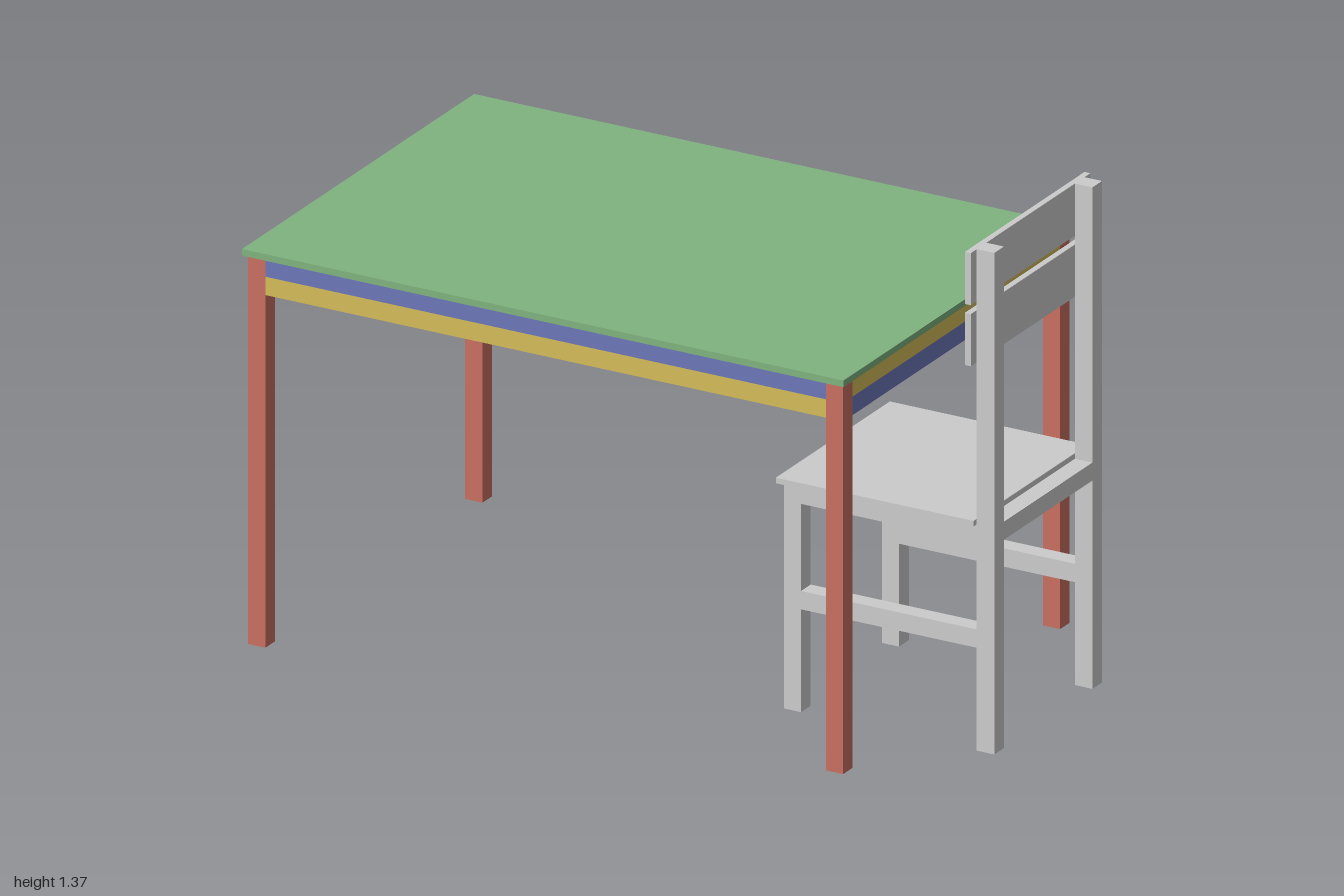
import * as THREE from 'three';

const paint = (color) => new THREE.MeshStandardMaterial({ color });

export function createModel() {
  const green = paint(0x7fb27f), red = paint(0xc96f60), blue = paint(0x6c77b8);
  const yellow = paint(0xd4bb5a), grey = paint(0xcccccc);

  // Box given by its extents on each axis
  const board = (group, name, material, [x0, x1], [y0, y1], [z0, z1]) => {
    const mesh = new THREE.Mesh(new THREE.BoxGeometry(x1 - x0, y1 - y0, z1 - z0), material);
    mesh.position.set((x0 + x1) / 2, (y0 + y1) / 2, (z0 + z1) / 2);
    mesh.name = name;
    group.add(mesh);
  };
  // The same box on the +z and -z sides
  const pair = (group, name, material, x, y, [z0, z1]) => {
    board(group, name + 'Left', material, x, y, [-z1, -z0]);
    board(group, name + 'Right', material, x, y, [z0, z1]);
  };

  // Table: top, four legs and two layers of rails
  const table = new THREE.Group();
  table.name = 'table';
  const upper = [1.01, 1.06], lower = [0.96, 1.01];
  const legZ = [0.525, 0.574], innerX = [-0.94, 0.685];
  const ends = { far: [-0.99, -0.94], near: [0.685, 0.734] };
  board(table, 'tableTop', green, [-1, 0.743], [1.06, 1.078], [-0.588, 0.588]);
  for (const [side, x] of Object.entries(ends)) {
    pair(table, side + 'TableLeg', red, x, [0, 1.06], legZ);
    board(table, side + 'UpperEndRail', yellow, x, upper, [-0.525, 0.525]);
    board(table, side + 'LowerEndRail', blue, x, lower, [-0.525, 0.525]);
  }
  pair(table, 'upperLongRail', blue, innerX, upper, legZ);
  pair(table, 'lowerLongRail', yellow, innerX, lower, legZ);

  // Crossing supports under the table top
  board(table, 'crossSupport', red, [-0.153, -0.104], upper, [-0.525, 0.525]);
  board(table, 'farCentreSupport', blue, [-0.94, -0.153], upper, [-0.025, 0.025]);
  board(table, 'nearCentreSupport', blue, [-0.104, 0.685], upper, [-0.025, 0.025]);

  // Chair: facing the table
  const chair = new THREE.Group();
  chair.name = 'chair';
  const chairZ = [0.224, 0.273], frontX = [0.39, 0.44], backX = [0.949, 1];
  const apronY = [0.567, 0.616], betweenX = [0.44, 0.949];
  pair(chair, 'frontChairLeg', grey, frontX, [0, 0.616], chairZ);
  pair(chair, 'backChairLeg', grey, backX, [0, 1.365], chairZ);
  pair(chair, 'sideApron', grey, betweenX, apronY, chairZ);
  pair(chair, 'sideStretcher', grey, betweenX, [0.28, 0.33], chairZ);
  board(chair, 'frontApron', grey, frontX, apronY, [-0.224, 0.224]);
  board(chair, 'backApron', grey, backX, apronY, [-0.224, 0.224]);
  board(chair, 'seat', grey, [0.376, 0.949], [0.616, 0.631], [-0.289, 0.289]);
  [[1.057, 1.199], [1.223, 1.365]].forEach((y, i) =>
    board(chair, ['lowerBackSlat', 'upperBackSlat'][i], grey, [0.932, 0.949], y, [-0.303, 0.303]));

  const model = new THREE.Group();
  model.name = 'tableAndChair';
  model.add(table, chair);
  return model;
}
